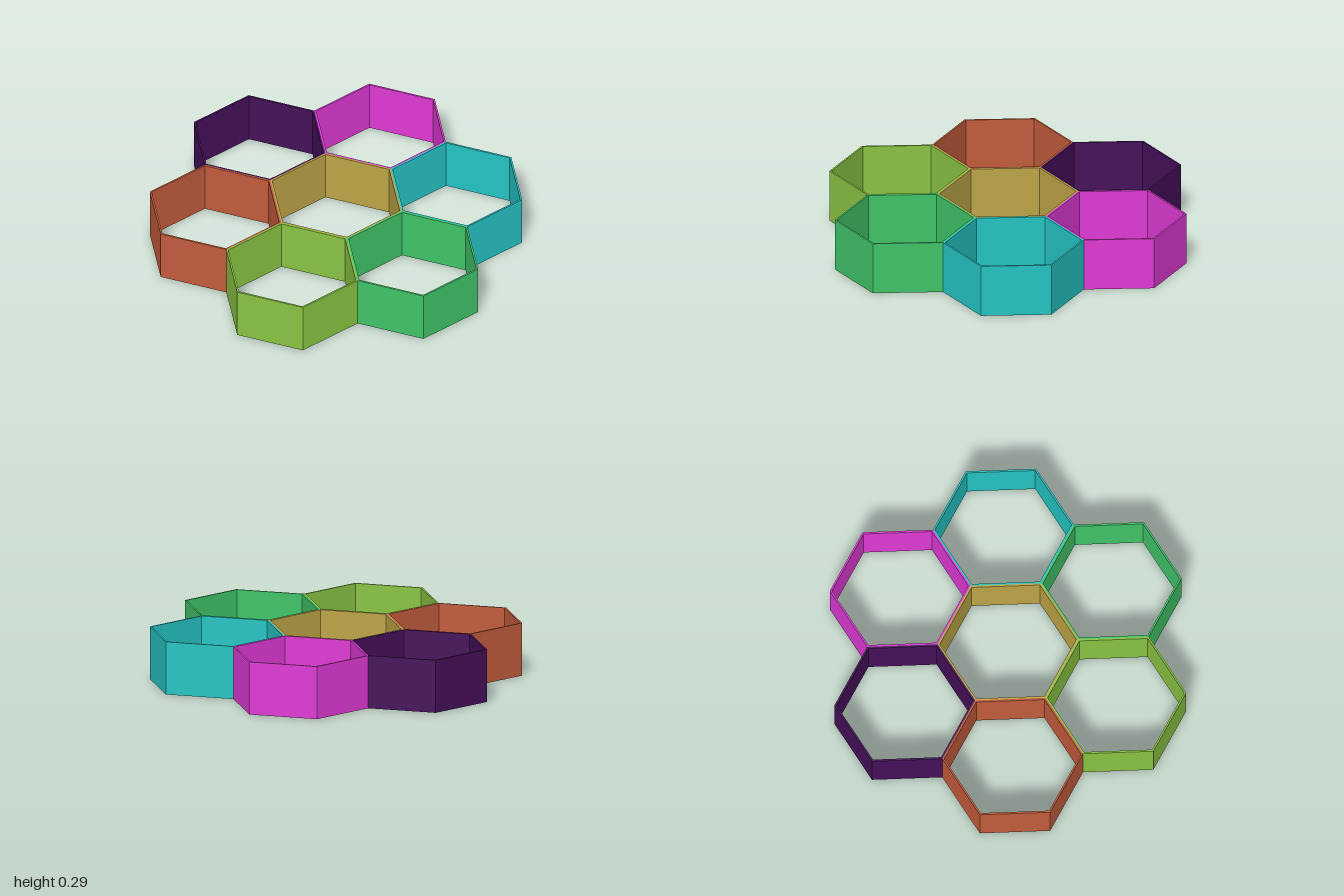
import * as THREE from 'three';

const APOTHEM = 1 / 3;
const WALL = 0.01;
const HEIGHT = 0.295;

// Corner points of a hexagon with two sides facing front and back
function hexPoints(apothem) {
  const r = apothem / Math.cos(Math.PI / 6);
  return Array.from({ length: 6 }, (_, i) => {
    const a = (i * Math.PI) / 3;
    return new THREE.Vector2(r * Math.cos(a), r * Math.sin(a));
  });
}

// Thin hexagonal wall, open at top and bottom
function hexRing() {
  const shape = new THREE.Shape(hexPoints(APOTHEM));
  shape.holes.push(new THREE.Path(hexPoints(APOTHEM - WALL).reverse()));
  const geometry = new THREE.ExtrudeGeometry(shape, { depth: HEIGHT, bevelEnabled: false });
  return geometry.rotateX(-Math.PI / 2);
}

export function createModel() {
  const group = new THREE.Group();
  group.name = 'honeycomb';
  const ring = hexRing();

  function addCell(name, color, x, z) {
    const material = new THREE.MeshStandardMaterial({ color });
    const cell = new THREE.Mesh(ring, material);
    cell.name = name;
    cell.position.set(x, 0, z);
    group.add(cell);
  }

  addCell('centreCell', 0xbda546, 0, 0);

  // Six outer cells, going round from the front
  const outer = [
    ['frontCell', 0x8ac443],
    ['frontLeftCell', 0x40c468],
    ['backLeftCell', 0x25c4c4],
    ['backCell', 0xe03ad6],
    ['backRightCell', 0x45105a],
    ['frontRightCell', 0xc25c3c],
  ];
  outer.forEach(([name, color], i) => {
    const a = (i * Math.PI) / 3;
    addCell(name, color, 2 * APOTHEM * Math.sin(a), 2 * APOTHEM * Math.cos(a));
  });

  return group;
}
